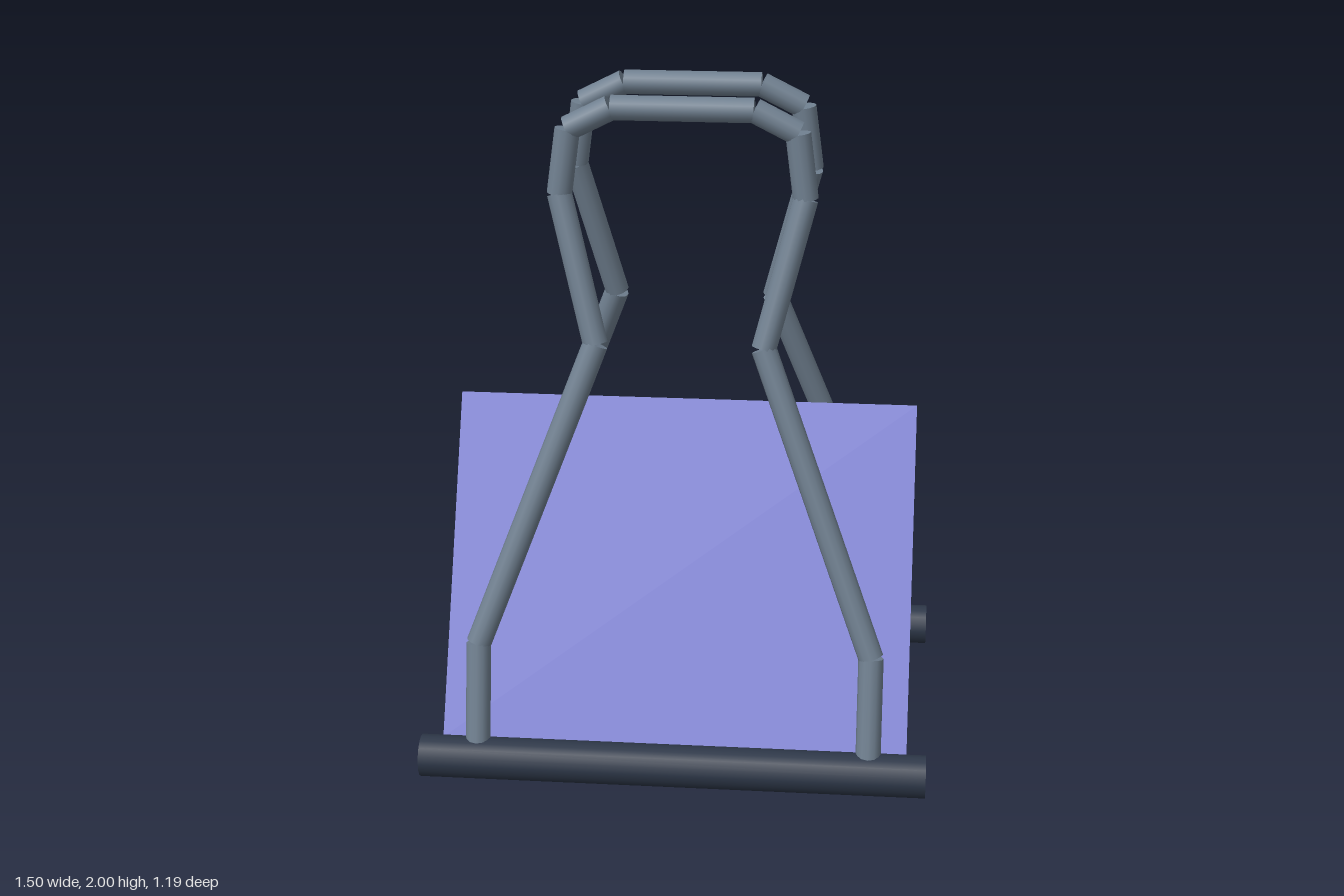
import * as THREE from 'three';

const steel = new THREE.MeshStandardMaterial({ color: 0x708090 });
steel.name = 'wire steel';
const dark = new THREE.MeshStandardMaterial({ color: 0x2d3748 });
dark.name = 'dark rod';
const violet = new THREE.MeshStandardMaterial({ color: 0x7a7dd2, side: THREE.DoubleSide });
violet.name = 'violet sheet';

// Straight round bar between two points
function bar(a, b, radius, sides, material, name) {
  const dir = b.clone().sub(a);
  const mesh = new THREE.Mesh(new THREE.CylinderGeometry(radius, radius, dir.length(), sides), material);
  mesh.position.copy(a).add(b).multiplyScalar(0.5);
  mesh.quaternion.setFromUnitVectors(new THREE.Vector3(0, 1, 0), dir.normalize());
  mesh.name = name;
  return mesh;
}

// Half of the bent wire, from the foot to the top corner
const wirePath = [
  [0.58, 0.11, 0.52], [0.58, 0.405, 0.457], [0.245, 1.285, 0.268],
  [0.355, 1.71, 0.18], [0.33, 1.9, 0.173], [0.205, 1.963, 0.171],
];

// Wire handle leaning on one side of the clip
function makeHandle(side) {
  const handle = new THREE.Group();
  handle.name = side > 0 ? 'frontHandle' : 'backHandle';
  const half = (sx) => wirePath.map(([x, y, z]) => new THREE.Vector3(sx * x, y, side * z));
  const points = [...half(-1), ...half(1).reverse()];
  for (let i = 0; i < points.length - 1; i++) {
    handle.add(bar(points[i], points[i + 1], 0.037, 12, steel, 'wireSegment'));
  }
  return handle;
}

// Flat sheet from the ridge down to the rod
function makePanel(side) {
  const top = [1.03, 0], bottom = [0.1, 0.482];
  const height = Math.hypot(top[0] - bottom[0], bottom[1]);
  const panel = new THREE.Mesh(new THREE.PlaneGeometry(1.385, height), violet);
  panel.name = side > 0 ? 'frontPanel' : 'backPanel';
  const lean = Math.atan2(bottom[1], top[0] - bottom[0]);
  panel.position.set(0, (top[0] + bottom[0]) / 2, side * bottom[1] / 2);
  panel.rotation.set(side > 0 ? -lean : lean, side > 0 ? 0 : Math.PI, 0);
  return panel;
}

export function createModel() {
  const clip = new THREE.Group();
  clip.name = 'binderClip';
  for (const side of [1, -1]) {
    clip.add(makePanel(side), makeHandle(side));
    // Rolled lip along the bottom edge
    clip.add(bar(
      new THREE.Vector3(-0.75, 0.063, side * 0.531), new THREE.Vector3(0.75, 0.063, side * 0.531),
      0.063, 16, dark, side > 0 ? 'frontRod' : 'backRod'));
  }
  return clip;
}
